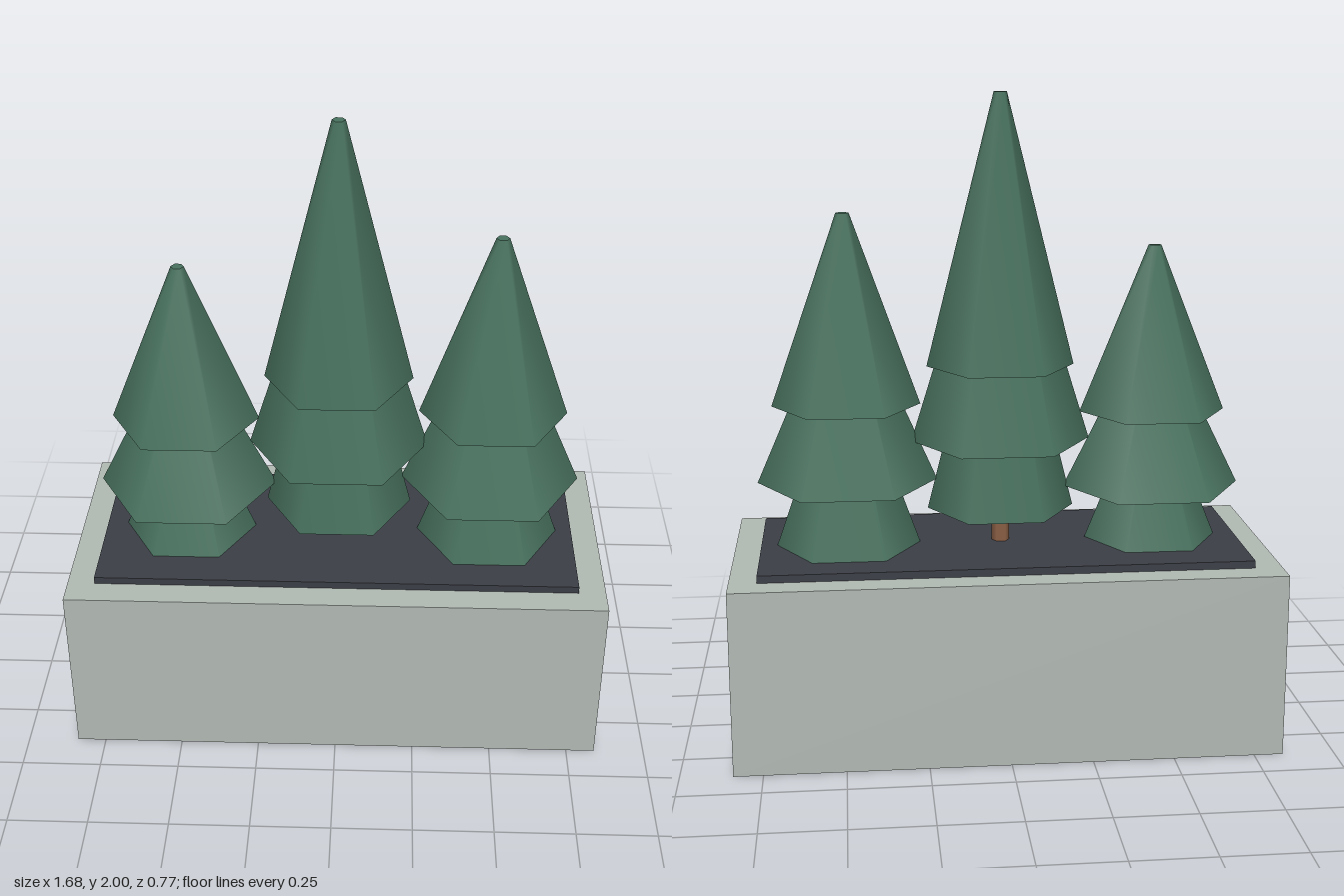
import * as THREE from 'three';

const material = (color) => new THREE.MeshStandardMaterial({ color });

function addMesh(parent, name, geometry, mat, x, y, z) {
  const mesh = new THREE.Mesh(geometry, mat);
  mesh.name = name;
  mesh.position.set(x, y, z);
  parent.add(mesh);
  return mesh;
}

export function createModel() {
  const model = new THREE.Group();
  model.name = 'planterWithTrees';
  const stone = material(0xb0b8b2);
  const earth = material(0x3a3d45);
  const bark = material(0x8b6045);
  const needles = material(0x47705d);

  // Planter block and the soil slab rising just above its rim
  addMesh(model, 'planter', new THREE.BoxGeometry(1.68, 0.577, 0.77), stone, 0, 0.2885, 0);
  addMesh(model, 'soil', new THREE.BoxGeometry(1.51, 0.06, 0.6), earth, 0, 0.57, 0);

  // Trees: three overlapping six-sided cones of equal height, corners on the x axis
  const tierRadii = [0.23, 0.28, 0.23];
  const trees = [
    { name: 'rightTree', x: -0.48, tiers: [0.55, 0.772, 1.012], height: 0.523 },
    { name: 'middleTree', x: 0, tiers: [0.71, 0.928, 1.165], height: 0.835 },
    { name: 'leftTree', x: 0.48, tiers: [0.585, 0.805, 1.048], height: 0.594 },
  ];
  for (const { name, x, tiers, height } of trees) {
    const tree = new THREE.Group();
    tree.name = name;
    tree.position.x = x;
    tiers.forEach((base, i) => {
      const cone = new THREE.CylinderGeometry(0.02, tierRadii[i], height, 6, 1, false, Math.PI / 6);
      addMesh(tree, `foliageTier${i + 1}`, cone, needles, 0, base + height / 2, 0);
    });
    // Trunk runs from inside the soil into the lowest tier
    const trunkHeight = tiers[0] + 0.05 - 0.5;
    const trunk = new THREE.CylinderGeometry(0.028, 0.028, trunkHeight, 6, 1, false, Math.PI / 6);
    addMesh(tree, 'trunk', trunk, bark, 0, 0.5 + trunkHeight / 2, 0);
    model.add(tree);
  }
  return model;
}
